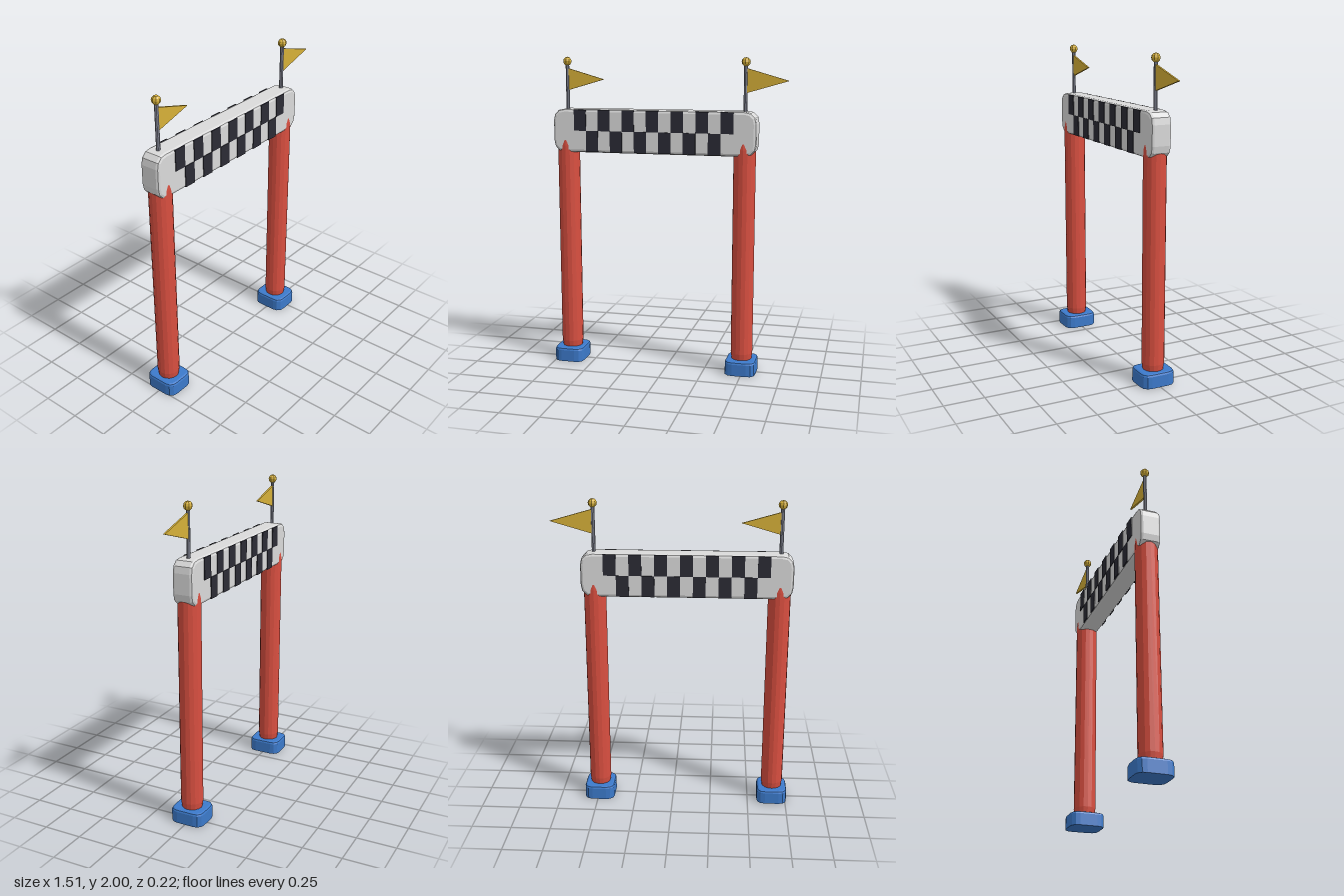
import * as THREE from 'three';

const mat = (name, color, flat = true) => {
  const m = new THREE.MeshStandardMaterial({ color, flatShading: flat });
  m.name = name;
  return m;
};

// Rounded rectangle outline centred on the origin
function roundedRect(w, h, r) {
  const s = new THREE.Shape();
  const x = w / 2, y = h / 2;
  s.moveTo(-x + r, -y);
  s.lineTo(x - r, -y);
  s.quadraticCurveTo(x, -y, x, -y + r);
  s.lineTo(x, y - r);
  s.quadraticCurveTo(x, y, x - r, y);
  s.lineTo(-x + r, y);
  s.quadraticCurveTo(-x, y, -x, y - r);
  s.lineTo(-x, -y + r);
  s.quadraticCurveTo(-x, -y, -x + r, -y);
  return s;
}

export function createModel() {
  const red = mat('post red', 0xd94f40);
  const blue = mat('base blue', 0x3c7acb);
  const white = mat('banner white', 0xdadada);
  const black = mat('check black', 0x2b2b35);
  const gold = mat('flag gold', 0xd6b038);
  const steel = mat('pole steel', 0x8c8f9e);

  const model = new THREE.Group();
  const add = (parent, name, geo, material, x = 0, y = 0, z = 0) => {
    const m = new THREE.Mesh(geo, material);
    m.name = name;
    m.position.set(x, y, z);
    parent.add(m);
    return m;
  };

  // Base block: chamfered top edge over a straight-sided block
  const bevel = 0.015;
  const baseGeo = new THREE.ExtrudeGeometry(roundedRect(0.196 - 2 * bevel, 0.22 - 2 * bevel, 0.04), {
    depth: 0.09 - bevel, bevelEnabled: true, bevelThickness: bevel,
    bevelSize: bevel, bevelSegments: 2, curveSegments: 3,
  });
  baseGeo.rotateX(-Math.PI / 2);
  const bp = baseGeo.attributes.position;
  for (let i = 0; i < bp.count; i++) {
    if (bp.getY(i) < 0.001) { // square off the underside
      bp.setY(i, 0);
    }
  }

  // Post with softened ends
  const postGeo = new THREE.LatheGeometry([
    [0, 0.07], [0.05, 0.07], [0.064, 0.09], [0.07, 0.13],
    [0.07, 1.44], [0.067, 1.475], [0.055, 1.5], [0, 1.5],
  ].map(([r, y]) => new THREE.Vector2(r, y)), 16);

  // Pennant
  const pennant = new THREE.Shape();
  pennant.moveTo(0, -0.068);
  pennant.lineTo(0.236, 0);
  pennant.lineTo(0, 0.068);
  const pennantGeo = new THREE.ExtrudeGeometry(pennant, { depth: 0.012, bevelEnabled: false });
  pennantGeo.translate(0.008, 0, -0.006);

  for (const [side, x, flagScale] of [['right', -0.66, 1], ['left', 0.49, 1.09]]) {
    const g = new THREE.Group();
    g.name = side + 'Upright';
    g.position.x = x;
    model.add(g);
    add(g, 'base', baseGeo, blue);
    add(g, 'post', postGeo, red);
    add(g, 'flagPole', new THREE.CylinderGeometry(0.012, 0.012, 0.31, 8), steel, 0, 1.81, 0);
    add(g, 'finial', new THREE.SphereGeometry(0.028, 8, 6), gold, 0, 1.972, 0);
    add(g, 'pennant', pennantGeo, gold, 0, 1.859, 0).scale.set(flagScale, flagScale, 1);
  }

  // Banner board
  const b = 0.018;
  const boardGeo = new THREE.ExtrudeGeometry(roundedRect(1.312 - 2 * b, 0.276 - 2 * b, 0.06), {
    depth: 0.132 - 2 * b, bevelEnabled: true, bevelThickness: b,
    bevelSize: b, bevelSegments: 2, curveSegments: 3,
  });
  boardGeo.translate(0, 0, -0.066 + b);
  add(model, 'banner', boardGeo, white, -0.085, 1.536, 0);

  // Chequered plates on both faces
  const cell = 0.079, row = 0.133;
  const checkGeo = new THREE.BoxGeometry(cell, row, 0.008);
  const checks = new THREE.Group();
  checks.name = 'checks';
  model.add(checks);
  for (let i = 0; i < 13; i++) {
    const y = 1.537 + (i % 2 ? -row / 2 : row / 2);
    for (const z of [-0.066, 0.066]) {
      add(checks, 'check', checkGeo, black, -0.085 + (i - 6) * cell, y, z);
    }
  }
  return model;
}
